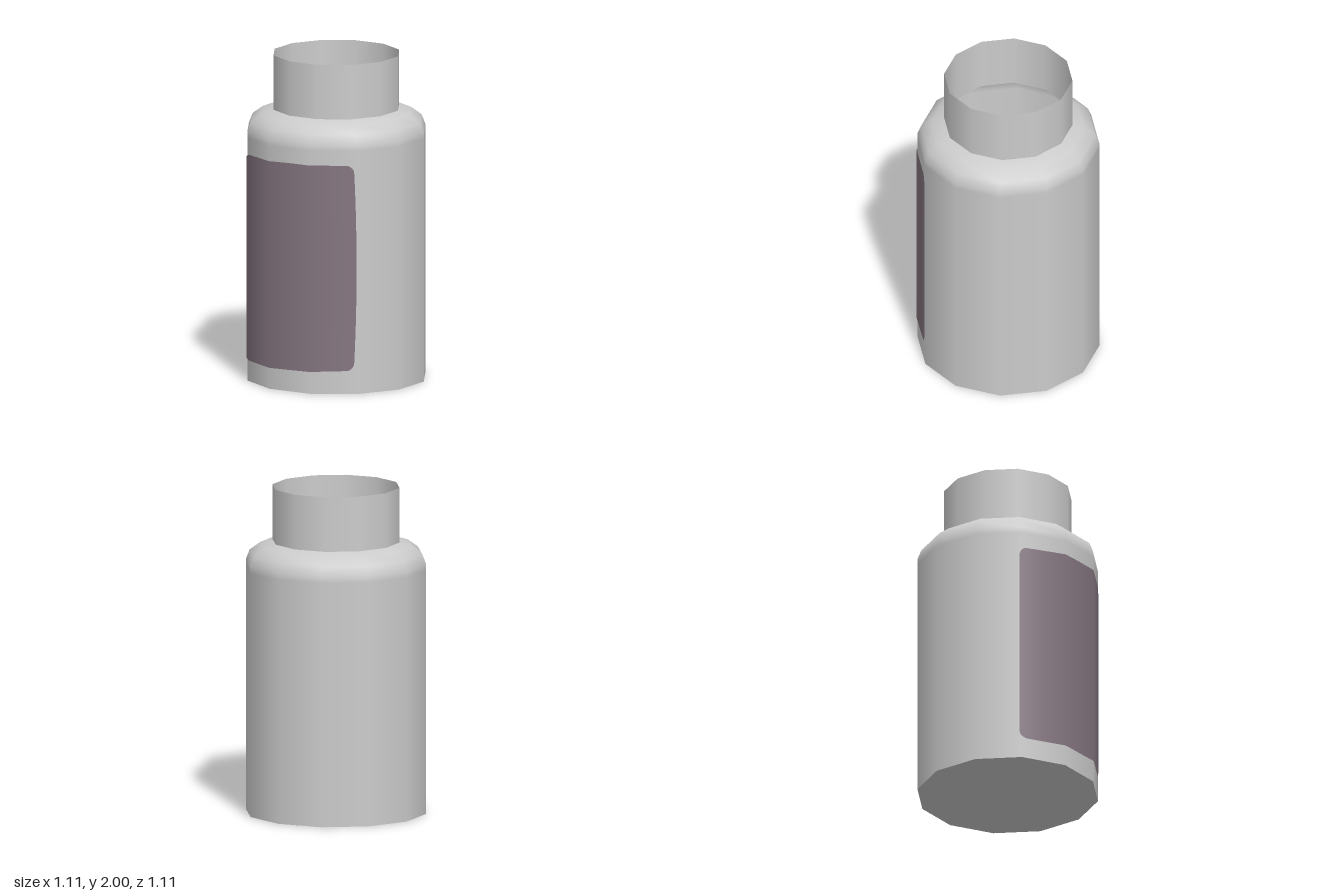
import * as THREE from 'three';

const SIDES = 12, TURN = -0.018, R = 0.553;
const STEP = (Math.PI * 2) / SIDES;

// distance from the axis to the twelve-sided wall at an angle
function wallRadius(theta, r) {
  const a = theta - TURN;
  const d = a - (Math.floor(a / STEP) + 0.5) * STEP;
  return (r * Math.cos(STEP / 2)) / Math.cos(d);
}

function lathe(name, profile, material) {
  const pts = profile.map(([x, y]) => new THREE.Vector2(x, y));
  const mesh = new THREE.Mesh(new THREE.LatheGeometry(pts, SIDES, TURN), material);
  mesh.name = name;
  return mesh;
}

// thin rounded panel wrapped around the wall
function labelGeometry() {
  const start = TURN - 2 * STEP - 0.03, end = TURN + STEP - 0.004;
  const corner = 0.05, rows = 12;
  const columns = [TURN - 2 * STEP, TURN - STEP, TURN, TURN + STEP / 2, TURN - 1.5 * STEP, TURN - STEP / 2];
  for (const k of [0, 0.06, 0.2, 0.45, 0.75, 1]) {
    columns.push(start + (k * corner) / R, end - (k * corner) / R);
  }
  columns.sort((a, b) => a - b);
  const position = [], normal = [], index = [];
  columns.forEach((angle, i) => {
    const u = (angle - start) / (end - start);
    const edge = Math.min(angle - start, end - angle) * R;
    const d = Math.max(0, corner - edge);
    const inset = corner - Math.sqrt(Math.max(0, corner * corner - d * d));
    const low = 0.128 + 0.016 * u * u + inset;
    const high = 1.398 + 0.012 * Math.min(1, u * 2) - inset;
    for (let j = 0; j <= rows; j++) {
      const t = j / rows;
      // the right-hand edge bows slightly outwards
      const theta = angle > 0 ? angle * (1 - 0.05 * (2 * t - 1) ** 2) : angle;
      const r = wallRadius(theta, R + 0.004);
      position.push(Math.sin(theta) * r, low + (high - low) * t, Math.cos(theta) * r);
      normal.push(Math.sin(theta), 0, Math.cos(theta));
      if (i < columns.length - 1 && j < rows) {
        const a = i * (rows + 1) + j, b = a + rows + 1;
        index.push(a, b, b + 1, a, b + 1, a + 1);
      }
    }
  });
  const g = new THREE.BufferGeometry();
  g.setAttribute('position', new THREE.Float32BufferAttribute(position, 3));
  g.setAttribute('normal', new THREE.Float32BufferAttribute(normal, 3));
  g.setIndex(index);
  return g;
}

export function createModel() {
  const grey = new THREE.MeshStandardMaterial({ color: 0xcccccc, side: THREE.DoubleSide });
  grey.name = 'light grey';
  const mauve = new THREE.MeshStandardMaterial({ color: 0x84757f, side: THREE.DoubleSide });
  mauve.name = 'dusty mauve';

  const group = new THREE.Group();
  group.name = 'bottle';

  // hollow body with rounded shoulder
  group.add(lathe('body', [
    [R, 0], [R, 1.5], [R, 1.535], [0.53, 1.595], [0.465, 1.643], [0.39, 1.664],
  ], grey));

  // open neck
  group.add(lathe('neck', [[0.39, 1.664], [0.39, 2]], grey));

  // closed base
  const base = new THREE.Mesh(new THREE.CircleGeometry(R, SIDES), grey);
  base.geometry.rotateX(Math.PI / 2).rotateY(TURN);
  base.name = 'base';
  group.add(base);

  // blank label
  const label = new THREE.Mesh(labelGeometry(), mauve);
  label.name = 'label';
  group.add(label);

  return group;
}
